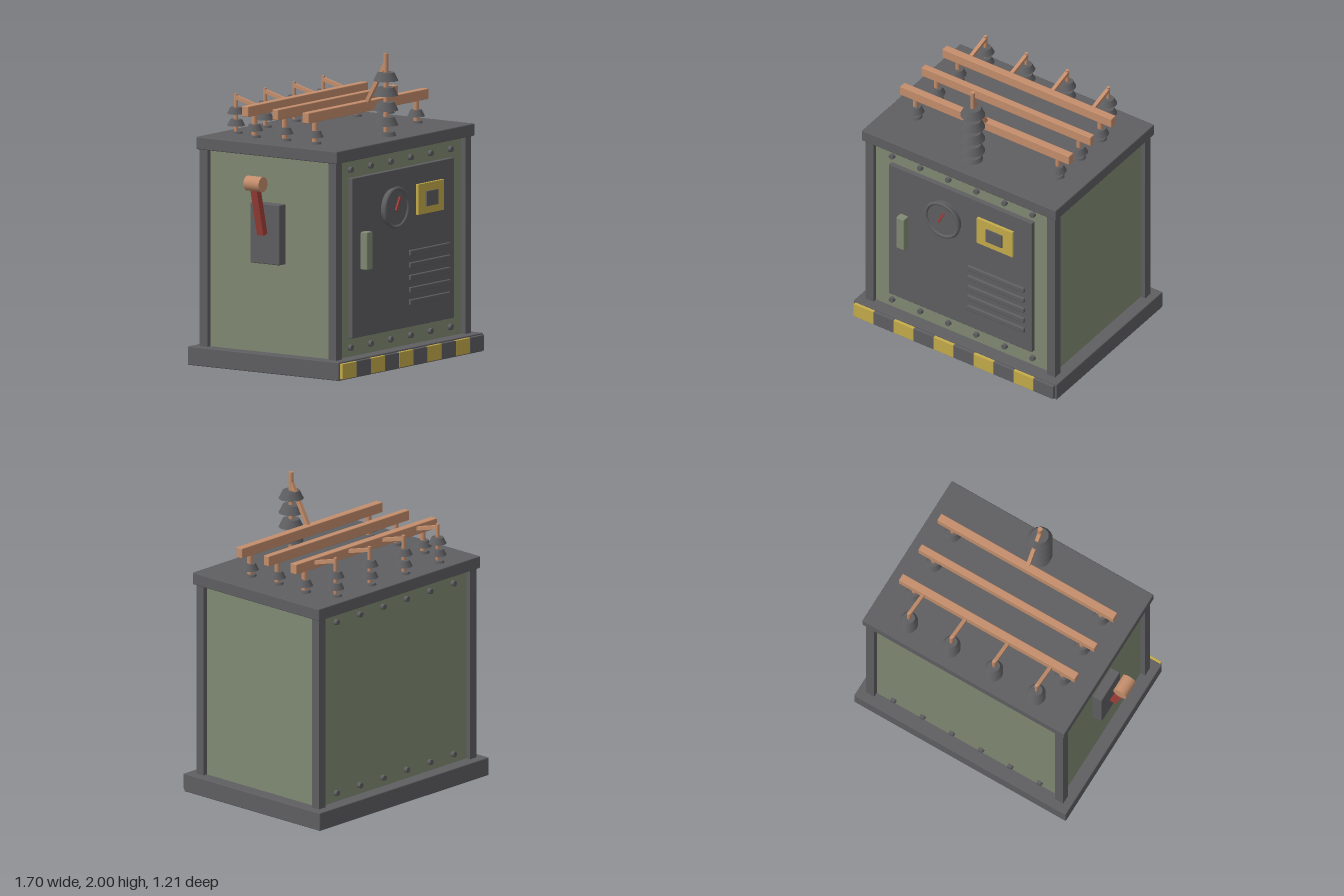
import * as THREE from 'three';
import { RoundedBoxGeometry } from 'three/addons/geometries/RoundedBoxGeometry.js';

const mat = (name, color) => Object.assign(new THREE.MeshStandardMaterial({ color }), { name });

export function createModel() {
  const green = mat('sage green', 0x808a73);
  const dark = mat('dark grey', 0x5f5f62);
  const copper = mat('copper', 0xc48e6c);
  const yellow = mat('hazard yellow', 0xc4ab4a);
  const red = mat('red', 0xa0403a);

  const root = new THREE.Group();
  root.name = 'transformerCabinet';
  const XC = 0.061, ZC = -0.01; // cabinet axis

  const add = (name, geo, m, x, y, z, parent = root) => {
    const mesh = new THREE.Mesh(geo, m);
    mesh.name = name;
    mesh.position.set(x, y, z);
    parent.add(mesh);
    return mesh;
  };
  const box = (name, m, w, h, d, x, y, z) => add(name, new THREE.BoxGeometry(w, h, d), m, x, y, z);
  const rounded = (name, m, w, h, d, x, y, z, r = 0.006) =>
    add(name, new RoundedBoxGeometry(w, h, d, 1, r), m, x, y, z);
  // Square bar between two points
  const bar = (name, m, a, b, w, d = w) => {
    const p = new THREE.Vector3(...a), dir = new THREE.Vector3(...b).sub(p);
    const c = p.clone().addScaledVector(dir, 0.5);
    const mesh = box(name, m, w, dir.length(), d, c.x, c.y, c.z);
    mesh.quaternion.setFromUnitVectors(new THREE.Vector3(0, 1, 0), dir.normalize());
    return mesh;
  };

  // Cabinet shell
  rounded('base', dark, 1.574, 0.12, 1.19, XC, 0.06, ZC);
  box('body', green, 1.4, 1.29, 1.01, XC, 0.755, ZC);
  rounded('lid', dark, 1.502, 0.08, 1.108, XC, 1.43, ZC);
  for (const sx of [-1, 1]) for (const sz of [-1, 1]) {
    box('cornerPost', dark, 0.061, 1.29, 0.061, XC + sx * 0.703, 0.755, ZC + sz * 0.506);
  }

  // Hazard stripes along the base
  for (let i = 0; i < 10; i++) {
    rounded('hazardStripe', i % 2 ? dark : yellow, 0.1545, 0.1, 0.03,
      XC + (i - 4.5) * 0.1545, 0.06, 0.59, 0.003);
  }

  // Rivets on front and back panels
  const rivetGeo = new THREE.CylinderGeometry(0.018, 0.021, 0.03, 10).rotateX(Math.PI / 2);
  for (const side of [-1, 1]) for (const y of [0.18, 1.327]) for (let i = 0; i < 6; i++) {
    const rivet = add('rivet', rivetGeo, dark, XC + (i - 2.5) * 0.2175, y, ZC + side * 0.512);
    if (side < 0) rivet.rotation.y = Math.PI;
  }

  // Door with handle, vents and nameplate
  const DOOR = 0.525;
  rounded('door', dark, 1.108, 1.032, 0.05, 0.06, 0.756, DOOR - 0.025, 0.004);
  rounded('doorHandle', green, 0.062, 0.244, 0.055, -0.373, 0.796, DOOR + 0.023);
  for (let i = 0; i < 5; i++) {
    rounded('ventSlat', dark, 0.44, 0.036, 0.03, 0.34, 0.716 - i * 0.0795, DOOR);
  }
  box('nameplate', yellow, 0.278, 0.196, 0.03, 0.337, 1.053, DOOR + 0.005);
  box('nameplateWindow', dark, 0.124, 0.096, 0.02, 0.338, 1.05, DOOR + 0.02);

  // Gauge
  const gauge = new THREE.Group();
  gauge.name = 'gauge';
  gauge.position.set(-0.058, 1.034, DOOR);
  root.add(gauge);
  add('gaugeFace', new THREE.CylinderGeometry(0.125, 0.125, 0.04, 28).rotateX(Math.PI / 2), dark, 0, 0, 0.014, gauge);
  add('gaugeRim', new THREE.TorusGeometry(0.124, 0.013, 8, 28), dark, 0, 0, 0.032, gauge);
  add('gaugeNeedle', new THREE.BoxGeometry(0.014, 0.096, 0.012), red, 0, 0.026, 0.045, gauge)
    .rotation.z = -0.47;

  // Side switch
  rounded('switchPlate', dark, 0.08, 0.388, 0.23, -0.666, 0.894, -0.012);
  bar('switchLever', red, [-0.733, 0.895, -0.012], [-0.807, 1.2, -0.012], 0.045, 0.05);
  add('switchGrip', new THREE.CylinderGeometry(0.049, 0.049, 0.12, 16).rotateX(Math.PI / 2),
    copper, -0.807, 1.23, -0.012);

  // Stacked conical sheds on a copper rod
  const insulator = (x, z, count, rBottom, rTop, h, firstY, step, rodR, rodTop) => {
    const g = new THREE.Group();
    g.name = 'insulator';
    g.position.set(x, 0, z);
    root.add(g);
    const shed = new THREE.CylinderGeometry(rTop, rBottom, h, 16);
    for (let i = 0; i < count; i++) add('shed', shed, dark, 0, firstY + i * step + h / 2, 0, g);
    add('rod', new THREE.CylinderGeometry(rodR, rodR, rodTop - 1.45, 10), copper, 0, (rodTop + 1.45) / 2, 0, g);
  };

  // Three bus bars, each on two insulators
  for (const k of [-1, 0, 1]) {
    const z = ZC + k * 0.238;
    rounded('busBar', copper, 1.309, 0.068, k ? 0.052 : 0.045, 0.06, 1.648, z, 0.005);
    for (const s of [-1, 1]) insulator(XC + s * 0.551, z, 2, 0.056, 0.036, 0.042, 1.443, 0.071, 0.018, 1.63);
  }

  // Rear row of insulators with straps to the back bar
  for (let i = 0; i < 4; i++) {
    const x = 0.06 + (i - 1.5) * 0.3165;
    insulator(x, -0.447, 3, 0.058, 0.038, 0.04, 1.443, 0.077, 0.012, 1.725);
    bar('rearStrap', copper, [x, 1.705, -0.452], [x, 1.65, -0.25], 0.024);
  }

  // Tall front insulator with its strap
  insulator(XC, 0.387, 5, 0.081, 0.055, 0.053, 1.443, 0.0955, 0.016, 2);
  bar('frontStrap', copper, [XC, 1.935, 0.387], [XC, 1.66, 0.232], 0.025);

  return root;
}
